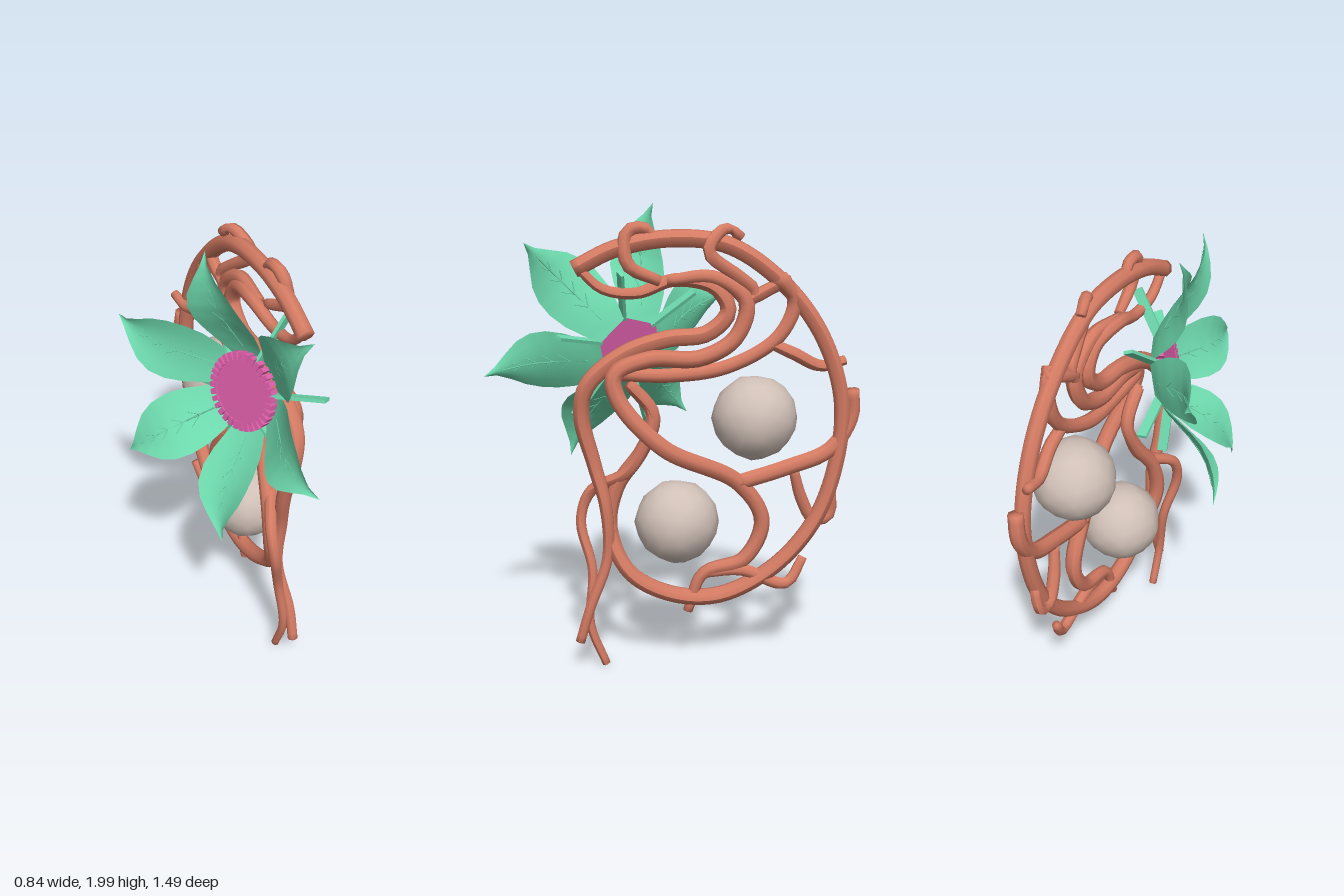
import * as THREE from 'three';
import { mergeVertices } from 'three/addons/utils/BufferGeometryUtils.js';

const material = (name, color, extra = {}) => {
  const m = new THREE.MeshStandardMaterial({ color, ...extra });
  m.name = name;
  return m;
};

const vineMat = material('terracotta vine', 0xd47b63);
const leafMat = material('mint petal', 0x6edaae, { side: THREE.DoubleSide });
const pinkMat = material('pink', 0xde5fab, { flatShading: true });
const stoneMat = material('pale stone', 0xd0c0b7);

function addMesh(parent, name, geometry, mat) {
  const mesh = new THREE.Mesh(geometry, mat);
  mesh.name = name;
  parent.add(mesh);
  return mesh;
}

// Piecewise linear lookup of a short list over 0..1
function sample(list, t) {
  const f = THREE.MathUtils.clamp(t, 0, 1) * (list.length - 1);
  const i = Math.min(Math.floor(f), list.length - 2);
  return THREE.MathUtils.lerp(list[i], list[i + 1], f - i);
}

// Vine strand: points are [z, y, offset] on a slanted upright plane; radii run along it
function vine(parent, name, points, radii) {
  const curve = new THREE.CatmullRomCurve3(
    points.map(([z, y, off = 0]) => new THREE.Vector3(0.156 + 0.48 * z + off, y, z)));
  const sides = 8;
  const n = Math.max(12, Math.round(curve.getLength() / 0.03));
  const geometry = new THREE.TubeGeometry(curve, n, 1, sides);
  const pos = geometry.attributes.position;
  const p = new THREE.Vector3();
  for (let i = 0; i <= n; i++) {
    // the first and last rings shrink to a point and close the blunt ends
    const r = i === 0 || i === n ? 0 : sample(radii, i / n);
    const oldCentre = curve.getPointAt(i / n);
    const newCentre = curve.getPointAt(THREE.MathUtils.clamp((i - 1) / (n - 2), 0, 1));
    for (let j = 0; j <= sides; j++) {
      const k = i * (sides + 1) + j;
      p.fromBufferAttribute(pos, k).sub(oldCentre).multiplyScalar(r).add(newCentre);
      pos.setXYZ(k, p.x, p.y, p.z);
    }
  }
  geometry.computeVertexNormals();
  addMesh(parent, name, geometry, vineMat);
}

function buildVines() {
  const g = new THREE.Group();
  g.name = 'vines';
  vine(g, 'outerRing', [
    [0.34, 1.74], [0.19, 1.82], [-0.02, 1.86], [-0.23, 1.83], [-0.44, 1.67], [-0.59, 1.45],
    [-0.67, 1.18], [-0.66, 0.92], [-0.58, 0.65], [-0.42, 0.44], [-0.21, 0.32], [-0.02, 0.33],
    [0.15, 0.44], [0.24, 0.63, -0.05], [0.21, 0.81, -0.05], [0.1, 0.98, -0.02],
    [0.05, 1.13], [0.14, 1.27, 0.01]], [0.036, 0.037, 0.035, 0.035, 0.037, 0.035, 0.026]);
  vine(g, 'innerCurl', [
    [0.32, 1.74], [0.24, 1.66], [0.11, 1.64], [-0.02, 1.69, -0.02], [-0.18, 1.66], [-0.23, 1.56],
    [-0.15, 1.47], [0, 1.45], [0.16, 1.39], [0.3, 1.26], [0.33, 1.13, -0.02], [0.29, 0.92, -0.03],
    [0.24, 0.73, -0.01], [0.24, 0.5, -0.02], [0.3, 0.28, 0.01], [0.34, 0.13, 0.01]],
  [0.02, 0.026, 0.035, 0.037, 0.038, 0.035, 0.028, 0.024, 0.022]);
  vine(g, 'crossingStem', [
    [0, 1.69], [-0.18, 1.7, 0.01], [-0.3, 1.6, 0.01], [-0.26, 1.45, 0.01], [-0.13, 1.37, 0.02],
    [0.06, 1.37, 0.03], [0.18, 1.31, 0.05], [0.16, 1.21, 0.07], [-0.02, 1.01, 0.11],
    [-0.28, 0.83, 0.02], [-0.37, 0.65], [-0.3, 0.48], [-0.14, 0.42], [-0.08, 0.25]],
  [0.022, 0.034, 0.036, 0.036, 0.036, 0.036, 0.036, 0.032, 0.02]);
  vine(g, 'upperBranch', [[0.16, 1.31, 0.03], [-0.02, 1.3, 0.02], [-0.23, 1.33], [-0.42, 1.45],
    [-0.48, 1.6], [-0.43, 1.7, 0.03]], [0.028, 0.031, 0.03, 0.034]);
  vine(g, 'lowerBranch', [[-0.28, 0.83, 0.02], [-0.47, 0.89, 0.01], [-0.63, 0.96, 0],
    [-0.71, 1.1, -0.01], [-0.71, 1.22]], [0.035, 0.036, 0.032]);
  vine(g, 'hangingTail', [[0.25, 0.01, -0.02], [0.31, 0.2, -0.02], [0.31, 0.44, -0.05],
    [0.37, 0.65, -0.1], [0.33, 0.78, -0.1], [0.16, 0.88, -0.02], [0.08, 1.02], [0.06, 1.14], [0.14, 1.26]],
  [0.018, 0.021, 0.024, 0.028, 0.026]);

  // Small curling side shoots
  const shoots = [
    [[-0.27, 1.86, -0.02], [-0.22, 1.9], [-0.17, 1.81, 0.05], [-0.28, 1.7, 0.02], [-0.33, 1.64], [-0.28, 1.55]],
    [[-0.3, 1.6], [-0.4, 1.66], [-0.47, 1.69, 0.02]],
    [[-0.38, 1.43], [-0.48, 1.38], [-0.58, 1.32, -0.03], [-0.67, 1.34, -0.05]],
    [[-0.49, 0.88], [-0.52, 0.74, -0.02], [-0.57, 0.64, -0.03], [-0.63, 0.66, -0.03], [-0.64, 0.77, -0.01]],
    [[-0.14, 0.42], [-0.29, 0.43], [-0.47, 0.36], [-0.53, 0.47, -0.03]],
    [[0.02, 1.69, 0.02], [0.13, 1.76, 0.04], [0.14, 1.89, 0.01], [0.07, 1.9], [0.04, 1.84]],
  ];
  for (const s of shoots) vine(g, 'tendril', s, [0.021, 0.028, 0.027, 0.019]);
  return g;
}

// Petal surface: s runs from base to tip, t from edge to edge
const petalWidths = [0.07, 0.1, 0.125, 0.135, 0.128, 0.103, 0.06, 0.02, 0];
const petalHeights = [-0.03, 0.005, 0.05, 0.1, 0.14, 0.165, 0.18, 0.187, 0.185];
function petalPoint(s, t) {
  return new THREE.Vector3(0.13 + 0.46 * s, t * sample(petalWidths, s),
    sample(petalHeights, s) + 0.03 * t * t * Math.sin(Math.PI * s));
}

function buildPetal() {
  const petal = new THREE.Group();
  petal.name = 'petal';
  const blade = new THREE.PlaneGeometry(1, 1, 24, 6);
  const pos = blade.attributes.position;
  for (let i = 0; i < pos.count; i++) {
    const p = petalPoint(pos.getX(i) + 0.5, pos.getY(i) * 2);
    pos.setXYZ(i, p.x, p.y, p.z);
  }
  blade.computeVertexNormals();
  addMesh(petal, 'blade', blade, leafMat);

  // Raised midrib and paired side veins
  const vein = (a, b, r) => {
    const pts = [0, 0.33, 0.67, 1].map(k => petalPoint(
      THREE.MathUtils.lerp(a[0], b[0], k), THREE.MathUtils.lerp(a[1], b[1], k)));
    addMesh(petal, 'vein', new THREE.TubeGeometry(new THREE.CatmullRomCurve3(pts), 8, r, 4), leafMat);
  };
  vein([0.12, 0], [0.82, 0], 0.003);
  for (const s of [0.25, 0.38, 0.51, 0.64]) {
    for (const side of [-1, 1]) vein([s, 0], [s + 0.08, side * 0.25], 0.002);
  }
  return petal;
}

function buildFlower() {
  const flower = new THREE.Group();
  flower.name = 'flower';
  for (let i = 0; i < 6; i++) {
    const petal = buildPetal();
    petal.rotation.z = THREE.MathUtils.degToRad(-15 + 60 * i);
    flower.add(petal);

    // Narrow sepal, set on edge, behind each gap between petals
    const arm = new THREE.Group();
    arm.name = 'sepal';
    arm.rotation.z = THREE.MathUtils.degToRad(15 + 60 * i);
    const strap = addMesh(arm, 'strap', new THREE.BoxGeometry(0.23, 0.014, 0.042), leafMat);
    strap.position.set(0.25, 0, -0.035);
    strap.rotation.y = 0.28;
    flower.add(arm);
  }

  // Disc with a toothed rim
  const disc = addMesh(flower, 'flowerDisc', new THREE.CylinderGeometry(0.142, 0.142, 0.03, 36), pinkMat);
  disc.rotation.x = Math.PI / 2;
  disc.position.z = 0.01;
  const tooth = new THREE.BoxGeometry(0.034, 0.02, 0.036);
  const teeth = 32;
  for (let i = 0; i < teeth; i++) {
    const a = i / teeth * Math.PI * 2;
    const m = addMesh(flower, 'rimTooth', tooth, pinkMat);
    m.position.set(0.147 * Math.cos(a), 0.147 * Math.sin(a), 0.013);
    m.rotation.z = a;
  }

  // Turn the bloom to face forward, sideways and slightly up
  const u = new THREE.Vector3(0.727, 0, 0.687);
  const v = new THREE.Vector3(0.137, 0.98, -0.145).normalize();
  const n = new THREE.Vector3().crossVectors(u, v);
  flower.quaternion.setFromRotationMatrix(new THREE.Matrix4().makeBasis(u, v, n));
  flower.position.set(0.1, 1.395, 0.195);
  return flower;
}

// Roughly rounded stone with an uneven, faceted surface
function stoneGeometry(radius) {
  const raw = new THREE.IcosahedronGeometry(radius, 2);
  raw.deleteAttribute('normal');
  raw.deleteAttribute('uv');
  const geometry = mergeVertices(raw);
  const pos = geometry.attributes.position;
  const p = new THREE.Vector3();
  for (let i = 0; i < pos.count; i++) {
    p.fromBufferAttribute(pos, i).multiplyScalar(1 + 0.022 * Math.sin(i * 2.4));
    pos.setXYZ(i, p.x, p.y, p.z);
  }
  geometry.computeVertexNormals();
  return geometry;
}

export function createModel() {
  const model = new THREE.Group();
  model.name = 'floweringVine';
  model.add(buildVines(), buildFlower());

  // Two stones held inside the vines
  for (const [name, x, y, z] of [['upperStone', 0, 1.11, -0.335], ['lowerStone', 0.12, 0.655, -0.03]]) {
    addMesh(model, name, stoneGeometry(0.179), stoneMat).position.set(x, y, z);
  }
  return model;
}
